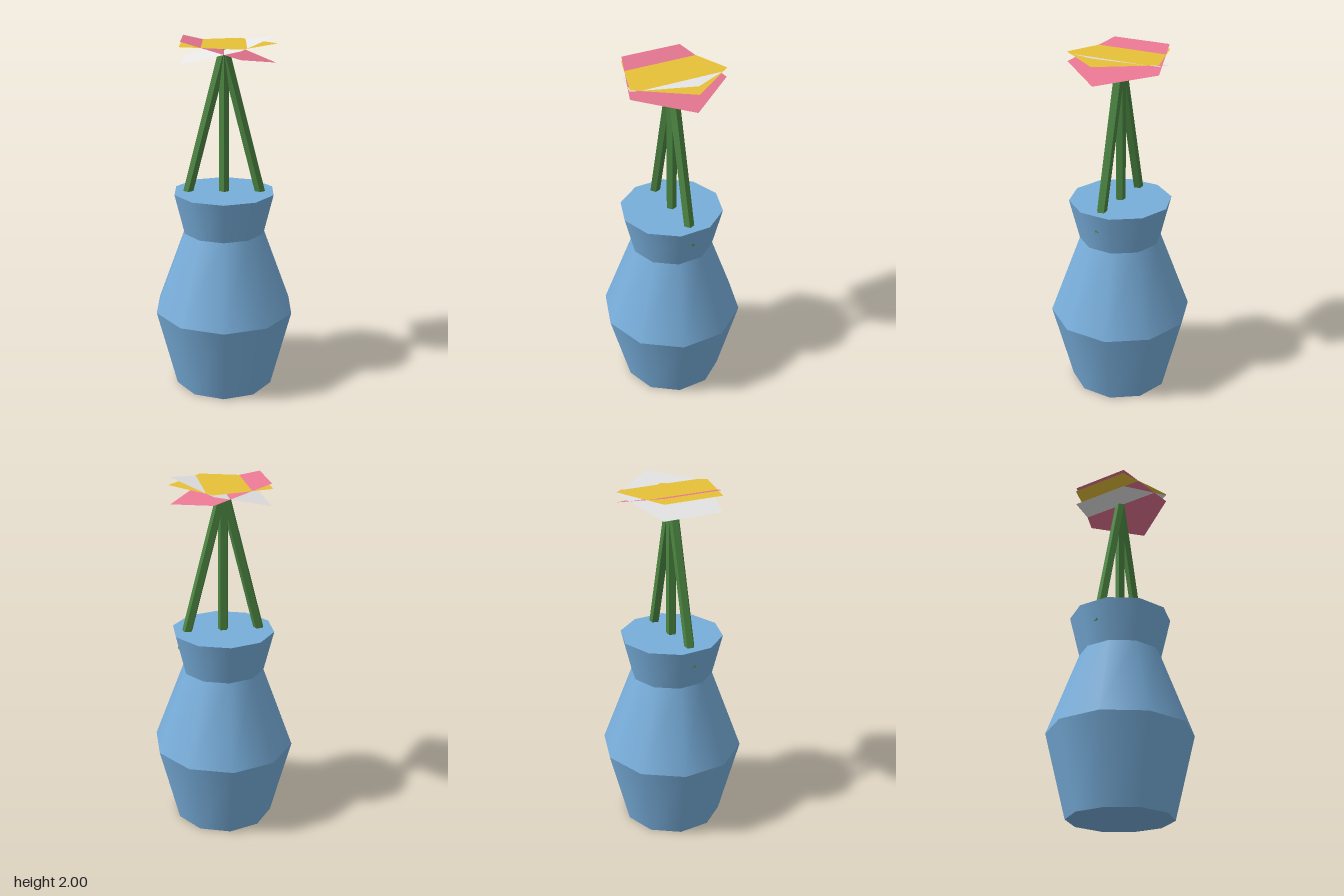
import * as THREE from 'three';

export function createModel() {
  const model = new THREE.Group();
  const mat = (name, color, extra = {}) => {
    const m = new THREE.MeshStandardMaterial({ color, ...extra });
    m.name = name;
    return m;
  };
  const thin = { side: THREE.DoubleSide };
  const blue = mat('vaseBlue', 0x78aedb);
  const green = mat('stemGreen', 0x4c8642, { flatShading: true });
  const yellow = mat('petalYellow', 0xf5cd3c, thin);
  const pink = mat('petalPink', 0xea7894, thin);
  const white = mat('petalWhite', 0xf8f8f8, thin);

  const add = (parent, name, geometry, material) => {
    const mesh = new THREE.Mesh(geometry, material);
    mesh.name = name;
    parent.add(mesh);
    return mesh;
  };

  // Ten-sided vase: stacked tapered rings with a closed mouth and base
  const vase = new THREE.Group();
  vase.name = 'vase';
  model.add(vase);
  const rings = [[0.286, 0], [0.402, 0.46], [0.23, 0.92], [0.286, 1.15]];
  ['vaseBase', 'vaseShoulder', 'vaseNeck'].forEach((name, i) => {
    const [r0, y0] = rings[i], [r1, y1] = rings[i + 1];
    const ring = new THREE.CylinderGeometry(r1, r0, y1 - y0, 10, 1, true);
    add(vase, name, ring, blue).position.y = (y0 + y1) / 2;
  });
  const cap = (name, y, turn) => {
    const disc = new THREE.CircleGeometry(0.286, 10, Math.PI / 2);
    const mesh = add(vase, name, disc, blue);
    mesh.rotation.x = turn;
    mesh.position.y = y;
  };
  cap('vaseMouth', 1.15, -Math.PI / 2);
  cap('vaseBottom', 0, Math.PI / 2);

  // Flowers: five-sided stem hanging below a flat five-sided bloom
  const stemLength = 0.92;
  const flower = (name, y, tilt, material) => {
    const group = new THREE.Group();
    group.name = name;
    group.position.y = y;
    group.rotation.z = tilt;
    model.add(group);
    const stem = new THREE.CylinderGeometry(0.029, 0.029, stemLength, 5);
    add(group, 'stem', stem, green).position.y = -stemLength / 2 - 0.001;
    const petals = new THREE.CircleGeometry(0.286, 5).rotateX(-Math.PI / 2);
    add(group, 'petals', petals, material);
    return group;
  };
  flower('rightFlower', 1.93, -0.25, pink);
  flower('leftFlower', 1.93, 0.25, white);
  const middle = flower('middleFlower', 1.96, 0, yellow);

  // Raised flower centre
  const centre = new THREE.CircleGeometry(0.12, 5).rotateX(-Math.PI / 2);
  add(middle, 'flowerCentre', centre, yellow).position.y = 0.006;

  return model;
}
